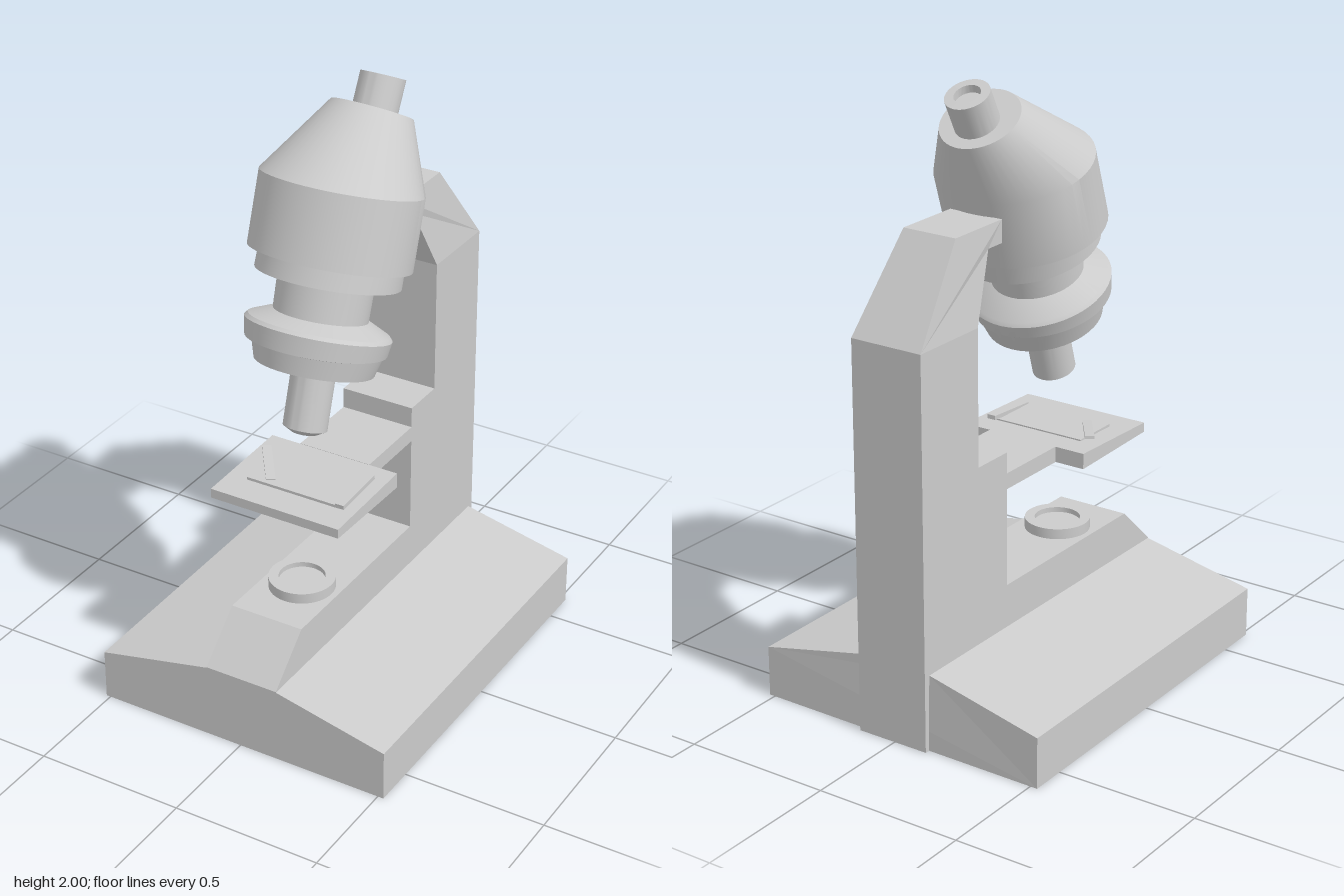
import * as THREE from 'three';
import { toCreasedNormals } from 'three/addons/utils/BufferGeometryUtils.js';

const MID = 0.0075; // x of the symmetry plane of arm and optics

export function createModel() {
  const group = new THREE.Group();
  const material = new THREE.MeshStandardMaterial({ color: 0xcccccc });

  function add(name, geometry, x = 0, y = 0, z = 0) {
    const mesh = new THREE.Mesh(geometry, material);
    mesh.name = name;
    mesh.position.set(x, y, z);
    group.add(mesh);
    return mesh;
  }

  const shapeOf = (points) => new THREE.Shape(points.map(([a, b]) => new THREE.Vector2(a, b)));
  const extrude = (shape, depth) => new THREE.ExtrudeGeometry(shape, { depth, bevelEnabled: false });

  // Side profile of [z, y] points, extruded across x and centred on x = 0
  const sideExtrude = (points, width) =>
    extrude(shapeOf(points), width).rotateY(-Math.PI / 2).translate(width / 2, 0, 0);

  // Move every vertex by a rule
  function reshape(geometry, rule) {
    const p = geometry.attributes.position;
    const v = new THREE.Vector3();
    for (let i = 0; i < p.count; i++) {
      rule(v.fromBufferAttribute(p, i));
      p.setXYZ(i, v.x, v.y, v.z);
    }
    geometry.computeVertexNormals();
    return geometry;
  }

  // Tilted rings from top to bottom; each is [frontZ, frontY, backZ, backY, optional x radius]
  function loft(rings, sides = 48) {
    const pos = [];
    const index = [];
    rings.forEach(([fz, fy, bz, by, rx]) => {
      const cz = (fz + bz) / 2, cy = (fy + by) / 2;
      const r = rx ?? Math.hypot(fz - bz, fy - by) / 2;
      for (let j = 0; j < sides; j++) {
        const a = (j / sides) * Math.PI * 2;
        pos.push(r * Math.sin(a), cy + (fy - cy) * Math.cos(a), cz + (fz - cz) * Math.cos(a));
      }
    });
    for (let i = 0; i < rings.length - 1; i++) {
      for (let j = 0; j < sides; j++) {
        const k = (j + 1) % sides;
        const a = i * sides + j, b = a + sides, c = i * sides + k, d = c + sides;
        index.push(a, b, c, b, d, c);
      }
    }
    const g = new THREE.BufferGeometry();
    g.setAttribute('position', new THREE.Float32BufferAttribute(pos, 3));
    g.setIndex(index);
    return toCreasedNormals(g, 0.45);
  }

  // Sloping foot
  const foot = extrude(shapeOf([
    [-0.515, 0], [0.52, 0], [0.52, 0.17], [0.135, 0.255], [-0.12, 0.255], [-0.515, 0.17],
  ]), 1.25).translate(0, 0, -0.612);
  add('base', reshape(foot, (v) => {
    if (v.x < -0.4 && v.z < 0) { v.x -= 0.01; v.z -= 0.01; }
  }));

  // Ridge on the foot with the upright post
  add('ridgeAndPost', sideExtrude([
    [0.638, 0.25], [0.638, 0.257], [0.485, 0.4], [-0.2, 0.4], [-0.2, 0.85], [-0.35, 0.85],
    [-0.35, 1.3], [-0.635, 1.3], [-0.635, 0], [-0.58, 0], [-0.58, 0.25],
  ], 0.255), MID);

  // Bent arm narrowing towards the head
  const arm = sideExtrude([
    [-0.635, 1.3], [-0.35, 1.3], [-0.25, 1.515], [-0.18, 1.515], [-0.18, 1.59], [-0.415, 1.59],
  ], 0.255);
  add('arm', reshape(arm, (v) => { if (v.y > 1.4) v.x *= 0.75; }), MID);

  // Specimen stage: neck and plate with a rectangular light opening
  add('stageNeck', new THREE.BoxGeometry(0.255, 0.053, 0.29), MID, 0.7535, -0.075);
  const plate = shapeOf([[-0.225, -0.43], [0.235, -0.43], [0.235, -0.07], [-0.225, -0.07]]);
  plate.holes.push(new THREE.Path([[-0.065, -0.3], [-0.065, -0.2], [0.08, -0.2], [0.08, -0.3]]
    .map(([x, y]) => new THREE.Vector2(x, y))));
  const plateGeometry = extrude(plate, 1).rotateX(-Math.PI / 2);
  add('stagePlate', reshape(plateGeometry, (v) => {
    const t = (v.z - 0.07) / 0.36; // thinner towards the front
    v.y = v.y > 0.5 ? 0.779 - 0.01 * t : 0.727 + 0.01 * t;
  }));

  // Glass slide and its two clips
  add('slide', new THREE.BoxGeometry(0.335, 0.012, 0.17), 0.0125, 0.775, 0.245);
  add('leftClip', new THREE.BoxGeometry(0.03, 0.014, 0.19), 0.18, 0.785, 0.235).rotation.x = 0.06;
  const rightClip = add('rightClip', new THREE.BoxGeometry(0.03, 0.01, 0.18), -0.135, 0.788, 0.235);
  rightClip.rotation.set(0.09, 0.63, 0, 'YXZ');

  // Lamp ring with a shallow recess
  const lamp = new THREE.LatheGeometry([
    [0.108, 0], [0.108, 0.037], [0.075, 0.037], [0.075, 0.02], [0, 0.02],
  ].map(([r, y]) => new THREE.Vector2(r, y)), 40);
  add('lamp', toCreasedNormals(lamp, 0.5), MID, 0.398, 0.272);

  // Eyepiece with a recessed lens
  add('eyepiece', loft([
    [-0.215, 1.945, -0.215, 1.945], [-0.177, 1.964, -0.253, 1.926], [-0.183, 1.988, -0.259, 1.95],
    [-0.157, 2.0, -0.285, 1.936], [-0.09, 1.87, -0.218, 1.806],
  ]), MID);

  // Oblique head body with a stepped collar
  add('head', loft([
    [-0.157, 1.88, -0.157, 1.88], [-0.045, 1.947, -0.268, 1.814],
    [0.247, 1.788, -0.202, 1.63, 0.26], [0.322, 1.568, -0.132, 1.411, 0.26],
    [0.297, 1.56, -0.13, 1.411], [0.321, 1.501, -0.109, 1.353],
    [0.095, 1.427, 0.095, 1.427],
  ]), MID);

  // Neck flaring into the flanged nosepiece
  add('nosepiece', loft([
    [0.256, 1.482, -0.028, 1.384], [0.29, 1.368, 0.01, 1.27],
    [0.366, 1.37, -0.045, 1.208], [0.379, 1.363, -0.05, 1.194],
    [0.389, 1.3, -0.031, 1.157], [0.365, 1.285, -0.026, 1.155],
    [0.369, 1.22, 0.013, 1.098], [0.191, 1.159, 0.191, 1.159],
  ]), MID);

  // Objective lens
  add('objective', loft([
    [0.252, 1.19, 0.12, 1.143], [0.313, 0.992, 0.181, 0.945],
    [0.292, 0.967, 0.21, 0.94], [0.251, 0.953, 0.251, 0.953],
  ]), MID);

  return group;
}
